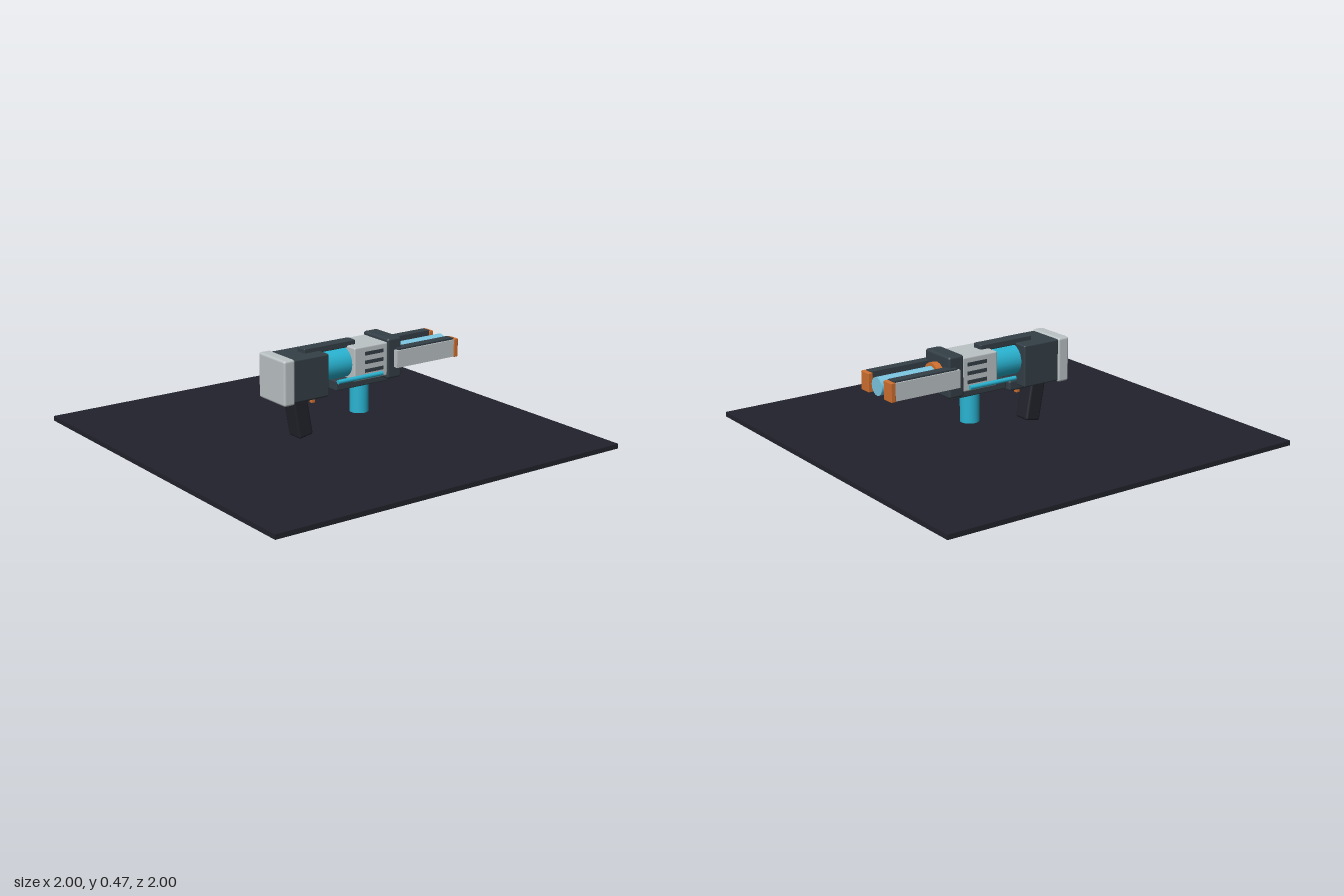
import * as THREE from 'three';
import { RoundedBoxGeometry } from 'three/addons/geometries/RoundedBoxGeometry.js';

export function createModel() {
  const model = new THREE.Group();
  model.name = 'blasterOnBase';
  const mat = (name, color) => {
    const m = new THREE.MeshStandardMaterial({ color });
    m.name = name;
    return m;
  };
  const base = mat('nearBlack', 0x22222c);
  const dark = mat('slate', 0x343f47);
  const grey = mat('lightGrey', 0xbcc3c5);
  const cyan = mat('cyan', 0x29b4d2);
  const glow = mat('paleBlue', 0x7cc6e0);
  const orange = mat('orange', 0xd07030);

  const add = (name, geometry, material, x, y, z) => {
    const mesh = new THREE.Mesh(geometry, material);
    mesh.name = name;
    mesh.position.set(x, y, z);
    model.add(mesh);
    return mesh;
  };
  // Box given by its x, y and z extents; r rounds the edges
  const box = (name, material, [x0, x1], [y0, y1], [z0, z1], r = 0) => {
    const s = [x1 - x0, y1 - y0, z1 - z0];
    const g = r ? new RoundedBoxGeometry(...s, 2, r) : new THREE.BoxGeometry(...s);
    return add(name, g, material, (x0 + x1) / 2, (y0 + y1) / 2, (z0 + z1) / 2);
  };
  // Cylinder lying along x
  const rod = (name, material, x0, x1, y, z, r, sides = 24) =>
    add(name, new THREE.CylinderGeometry(r, r, x1 - x0, sides).rotateZ(-Math.PI / 2),
      material, (x0 + x1) / 2, y, z);

  // Floor slab
  box('baseSlab', base, [-1, 1], [0, 0.024], [-1, 1]);

  // Body
  box('buttPlate', grey, [-0.338, -0.274], [0.226, 0.453], [-0.11, 0.11], 0.012);
  box('receiver', dark, [-0.28, -0.07], [0.234, 0.447], [-0.102, 0.102], 0.008);
  rod('energyCore', cyan, -0.08, 0.1, 0.36, 0, 0.076);
  box('frontBody', grey, [0.088, 0.292], [0.276, 0.447], [-0.095, 0.095], 0.008);
  box('collar', dark, [0.288, 0.374], [0.257, 0.464], [-0.102, 0.102], 0.012);
  box('topRail', dark, [-0.166, 0.14], [0.437, 0.47], [-0.03, 0.03], 0.005);
  box('underRail', dark, [0.006, 0.327], [0.234, 0.285], [-0.055, 0.055], 0.006);

  // Grip, trigger and magazine
  const grip = add('grip', new RoundedBoxGeometry(0.084, 0.23, 0.094, 2, 0.012), base, -0.186, 0.144, 0);
  grip.rotation.z = 0.18;
  box('triggerHousing', dark, [-0.17, -0.024], [0.207, 0.262], [-0.04, 0.04], 0.012);
  box('trigger', orange, [-0.11, -0.088], [0.182, 0.22], [-0.012, 0.012], 0.004);
  add('magazine', new THREE.CylinderGeometry(0.048, 0.048, 0.16, 24), cyan, 0.187, 0.169, 0);

  // Central barrel
  rod('barrelRing', orange, 0.365, 0.408, 0.36, 0, 0.062, 16);
  rod('barrel', glow, 0.37, 0.712, 0.36, 0, 0.045);

  // Parts on both sides
  for (const s of [-1, 1]) {
    const side = s > 0 ? 'front' : 'back';
    const span = (a, b) => (s > 0 ? [a, b] : [-b, -a]);
    rod(side + 'CoolantPipe', cyan, -0.016, 0.256, 0.295, s * 0.1, 0.011, 12);
    for (const y of [0.322, 0.366, 0.41])
      box(side + 'Vent', dark, [0.152, 0.264], [y - 0.009, y + 0.009], span(0.092, 0.098));
    box(side + 'BarrelRail', dark, [0.34, 0.695], [0.315, 0.411], span(0.07, 0.12));
    box(side + 'RailCover', grey, [0.327, 0.695], [0.315, 0.403], span(0.1, 0.128));
    box(side + 'RailTip', orange, [0.691, 0.716], [0.313, 0.407], span(0.066, 0.132), 0.003);
  }
  return model;
}
